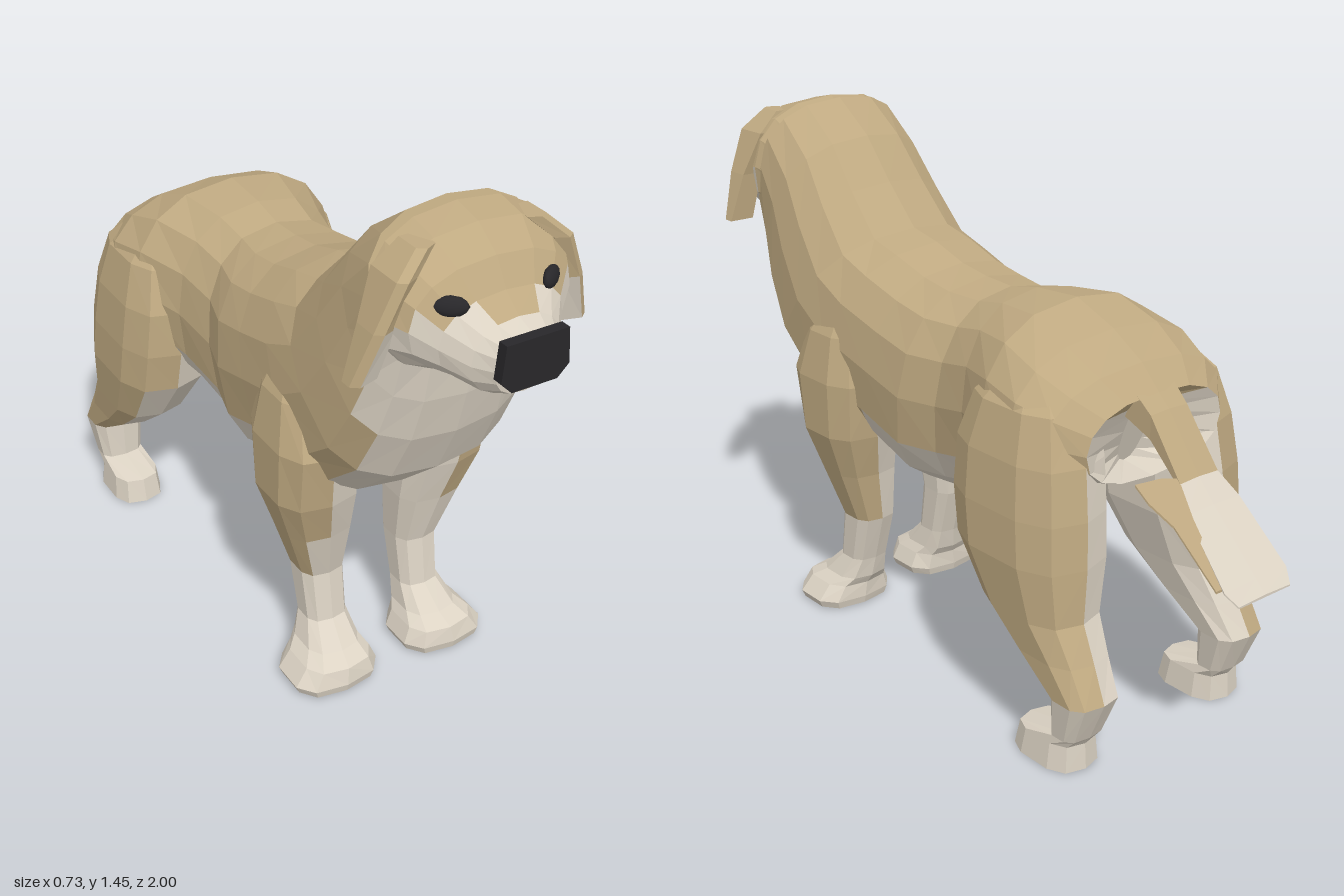
import * as THREE from 'three';

const material = (name, color) => Object.assign(new THREE.MeshStandardMaterial({ color }), { name });
const V = (x, y, z) => new THREE.Vector3(x, y, z);

// Closed faceted skin through rings of points; pick(ring, segment) gives the material index.
// Ring -1 is the start cap and ring rings.length - 1 the end cap.
function loft(name, rings, mats, pick = () => 0) {
  const tris = mats.map(() => []);
  const n = rings[0].length;
  const centre = (r) => r.reduce((s, p) => s.add(p), V(0, 0, 0)).divideScalar(n);
  for (let i = -1; i < rings.length; i++) {
    for (let k = 0; k < n; k++) {
      const j = (k + 1) % n, out = tris[pick(i, k)];
      if (i === -1) out.push([centre(rings[0]), rings[0][j], rings[0][k]]);
      else if (i === rings.length - 1) out.push([centre(rings[i]), rings[i][k], rings[i][j]]);
      else {
        const a = rings[i][k], b = rings[i][j], c = rings[i + 1][j], d = rings[i + 1][k];
        out.push([a, b, c], [a, c, d]);
      }
    }
  }
  // Turn the faces outward
  let volume = 0;
  tris.flat().forEach(([a, b, c]) => { volume += a.dot(b.clone().cross(c)); });
  if (volume < 0) tris.flat().forEach((t) => t.reverse());
  const geo = new THREE.BufferGeometry().setFromPoints(tris.flat(2));
  let start = 0;
  tris.forEach((t, m) => { geo.addGroup(start, t.length * 3, m); start += t.length * 3; });
  geo.computeVertexNormals();
  const mesh = new THREE.Mesh(geo, mats);
  mesh.name = name;
  return mesh;
}

// Tilted section between a top and a bottom point: [topZ, topY, bottomZ, bottomY, halfWidth]
const N = 16;
function section([tz, ty, bz, by, w], flat = 0.9) {
  return Array.from({ length: N }, (_, k) => {
    const t = (k / N) * Math.PI * 2, s = Math.sin(t), c = Math.cos(t);
    const f = 0.5 - 0.5 * Math.sign(c) * Math.abs(c) ** (c < 0 ? flat : 0.9);
    return V(w * Math.sign(s) * Math.abs(s) ** 0.8, ty + (by - ty) * f, tz + (bz - tz) * f);
  });
}
const half = (k) => Math.min(k, N - 1 - k); // 0 at the top, 7 at the bottom

// Level leg section: [y, centreZ, halfZ, centreX, halfX]
function legSection([y, cz, hz, cx, hx], side) {
  return Array.from({ length: 10 }, (_, k) => {
    const t = ((k + 0.5) / 10) * Math.PI * 2;
    const soft = (v) => Math.sign(v) * Math.abs(v) ** 0.7;
    return V(side * (cx + hx * soft(Math.cos(t))), y, cz + hz * soft(Math.sin(t)));
  });
}

export function createModel() {
  const tan = material('tan fur', 0xbfa981);
  const cream = material('cream fur', 0xdcd3c4);
  const black = material('black', 0x28272a);
  const fur = [tan, cream];
  const dog = new THREE.Group();
  dog.name = 'dog';

  // Neck, chest, barrel and rump, ending in a hollow below the tail
  const body = [
    [0.65, 1.45, 0.785, 1.12, 0.238], [0.52, 1.36, 0.77, 1.0, 0.245], [0.42, 1.245, 0.74, 0.88, 0.262],
    [0.31, 1.135, 0.675, 0.74, 0.275], [0.21, 1.115, 0.53, 0.61, 0.278], [0.1, 1.08, 0.28, 0.54, 0.27],
    [0, 1.065, 0.1, 0.475, 0.265], [-0.1, 1.06, -0.03, 0.48, 0.23], [-0.2, 1.08, -0.2, 0.52, 0.25],
    [-0.35, 1.09, -0.33, 0.56, 0.31], [-0.48, 1.04, -0.45, 0.62, 0.33], [-0.58, 0.98, -0.55, 0.68, 0.3],
    [-0.64, 0.92, -0.63, 0.7, 0.23], [-0.6, 0.9, -0.53, 0.71, 0.04],
  ];
  const firstCream = [5, 5, 6, 6, 6, 5, 5, 5, 5, 5, 5, 5, 2, 0];
  const flatness = (i) => (i < 5 ? 0.65 : i < 9 ? 0.78 : 0.9);
  dog.add(loft('body', body.map((r, i) => section(r, flatness(i))), fur,
    (i, k) => (half(k) >= firstCream[Math.max(i, 0)] ? 1 : 0)));

  // Head: muzzle to crown
  const head = [
    [0.982, 1.262, 0.967, 1.115, 0.085], [0.93, 1.28, 0.93, 1.1, 0.118], [0.88, 1.32, 0.87, 1.115, 0.165],
    [0.84, 1.385, 0.83, 1.12, 0.215], [0.77, 1.435, 0.79, 1.1, 0.25], [0.69, 1.452, 0.75, 1.09, 0.25],
    [0.6, 1.35, 0.68, 1.1, 0.18],
  ];
  const headCream = [0, 1, 3, 4, 4, 6, 8];
  dog.add(loft('head', head.map((r) => section(r)), fur, (i, k) => (half(k) >= headCream[Math.max(i, 0)] ? 1 : 0)));

  // Nose
  const noseShape = new THREE.Shape([[-0.06, 1.145], [0.06, 1.145], [0.09, 1.175], [0.082, 1.265], [-0.082, 1.265], [-0.09, 1.175]]
    .map(([x, y]) => new THREE.Vector2(x, y)));
  const nose = new THREE.Mesh(new THREE.ExtrudeGeometry(noseShape, { depth: 0.027, bevelEnabled: false }), black);
  nose.position.z = 0.973;
  nose.name = 'nose';
  dog.add(nose);

  // Leg sections, from shoulder or hip down to the paw
  const front = [
    [0.98, 0.35, 0.05, 0.18, 0.05], [0.87, 0.37, 0.11, 0.19, 0.098], [0.74, 0.38, 0.15, 0.2, 0.112],
    [0.58, 0.375, 0.13, 0.19, 0.118], [0.45, 0.37, 0.095, 0.168, 0.095], [0.3, 0.358, 0.068, 0.147, 0.064],
    [0.16, 0.388, 0.058, 0.147, 0.06], [0.1, 0.425, 0.085, 0.155, 0.078], [0.075, 0.455, 0.1, 0.162, 0.1],
    [0.03, 0.46, 0.105, 0.17, 0.128], [0.008, 0.46, 0.1, 0.17, 0.118],
  ];
  const hind = [
    [1.0, -0.42, 0.06, 0.17, 0.06], [0.9, -0.43, 0.16, 0.21, 0.108], [0.78, -0.43, 0.2, 0.225, 0.125],
    [0.65, -0.44, 0.21, 0.235, 0.13], [0.53, -0.455, 0.203, 0.24, 0.13], [0.39, -0.505, 0.155, 0.25, 0.105],
    [0.3, -0.585, 0.12, 0.255, 0.09], [0.21, -0.68, 0.07, 0.262, 0.08], [0.1, -0.655, 0.048, 0.262, 0.065],
    [0.075, -0.585, 0.1, 0.26, 0.07], [0.005, -0.58, 0.11, 0.26, 0.078],
  ];

  for (const side of [1, -1]) {
    const label = side > 0 ? 'left' : 'right';
    // Tan outside and over the joint, cream on the inner and front faces and below
    const coat = (last, joint) => (i, k) => (i < last && (k === 0 || k >= 7 || (k === 1 && i < joint)) ? 0 : 1);
    dog.add(loft(label + 'FrontLeg', front.map((r) => legSection(r, side)), fur, coat(5, 4)));
    dog.add(loft(label + 'HindLeg', hind.map((r) => legSection(r, side)), fur, coat(7, 4)));

    // Folded ear, pale on the lower front: [outerX, innerX, y, frontZ, backZ]
    const ear = [
      [0.17, 0.12, 1.42, 0.8, 0.72], [0.232, 0.18, 1.365, 0.825, 0.71],
      [0.28, 0.22, 1.25, 0.815, 0.735], [0.322, 0.25, 1.12, 0.79, 0.745],
    ].map(([o, n, y, f, b]) => [V(side * (o - 0.02), y, f), V(side * o, y, f - 0.015),
      V(side * o, y, b), V(side * n, y, b), V(side * n, y, f - 0.015)]);
    dog.add(loft(label + 'Ear', ear, fur, (i, k) => (i === 2 && k === 4 ? 1 : 0)));

    // Eye
    const eye = new THREE.Mesh(new THREE.IcosahedronGeometry(1, 1), black);
    eye.scale.set(0.042, 0.024, 0.014);
    eye.position.set(side * 0.133, 1.31, 0.866);
    eye.rotation.set(-0.3, side * 0.6, 0, 'YXZ');
    eye.name = label + 'Eye';
    dog.add(eye);
  }

  // Flat tail with a pale tip: [z, topY, halfWidth, thickness]
  const tail = [
    [-0.58, 0.97, 0.07, 0.1], [-0.675, 0.885, 0.062, 0.06], [-0.78, 0.745, 0.065, 0.014],
    [-0.83, 0.69, 0.09, 0.006], [-0.97, 0.55, 0.108, 0.005], [-1.0, 0.52, 0.09, 0.004],
  ].map(([z, y, w, t]) => [V(-w, y, z), V(0, y + 0.003, z), V(w, y, z), V(w, y - t, z), V(-w, y - t, z)]);
  dog.add(loft('tail', tail, fur, (i) => (i >= 2 ? 1 : 0)));

  // Loose tuft on the side of the tail, lying in the tail's slope
  const tuft = [[0.06, -0.77], [0.11, -0.76], [0.19, -0.755], [0.18, -0.79], [0.145, -0.84], [0.125, -0.96], [0.095, -0.96], [0.08, -0.84]]
    .map(([x, z]) => V(x, 0.745 - (-0.78 - z) * 1.05, z));
  dog.add(loft('tailTuft', [tuft, tuft.map((p) => V(p.x, p.y - 0.006, p.z))], [tan]));

  return dog;
}
